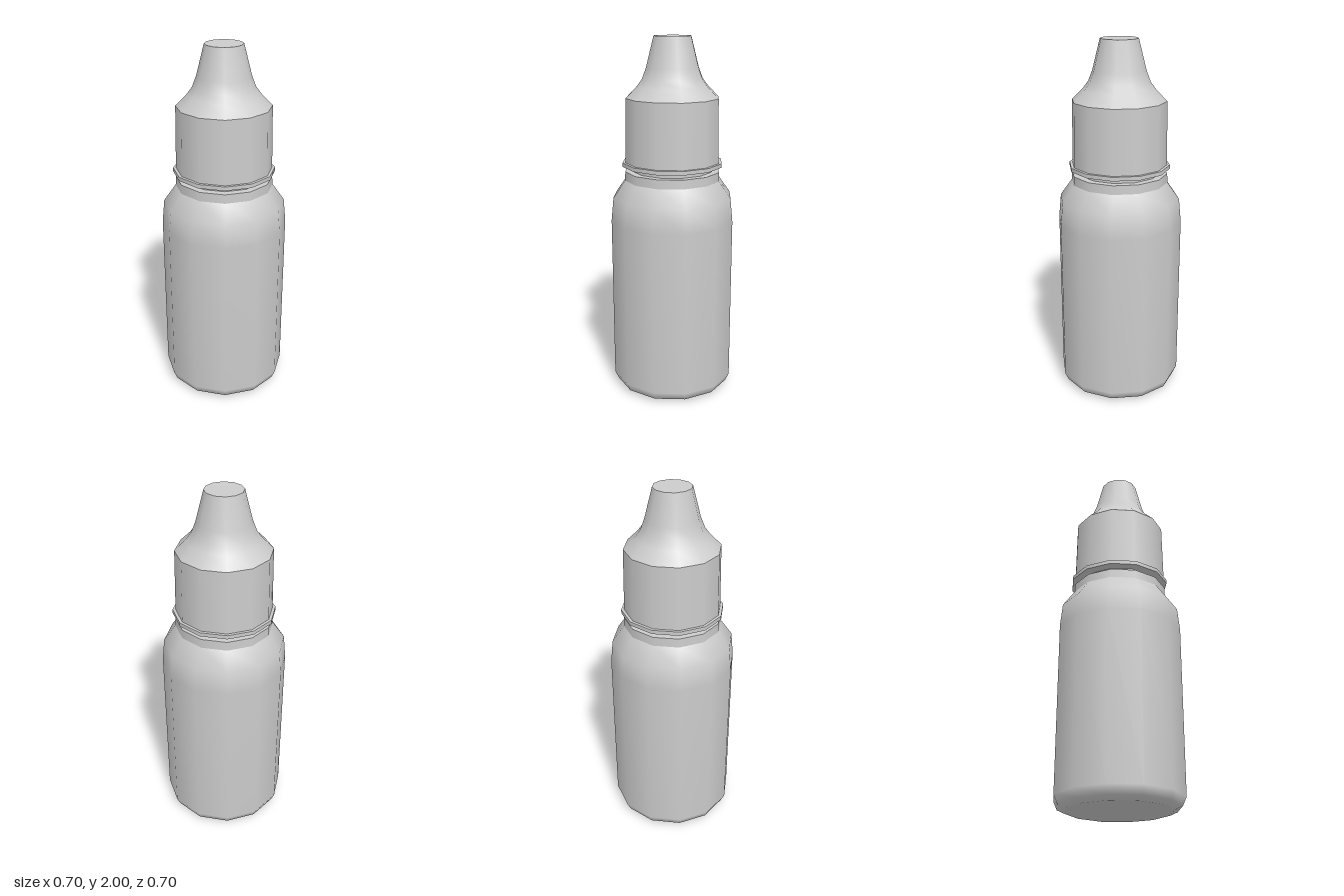
import * as THREE from 'three';
import { mergeGeometries } from 'three/addons/utils/BufferGeometryUtils.js';

const SIDES = 12;
const material = new THREE.MeshStandardMaterial({ color: 0xcccccc });

// Each run of [radius, y] points is smooth; the joints between runs stay sharp.
function turned(name, runs) {
  const parts = runs.map((run) =>
    new THREE.LatheGeometry(run.map(([r, y]) => new THREE.Vector2(r, y)), SIDES));
  const mesh = new THREE.Mesh(mergeGeometries(parts), material);
  mesh.name = name;
  return mesh;
}

export function createModel() {
  const group = new THREE.Group();
  group.name = 'dropperBottle';

  // Bottle: floor, rounded heel, straight wall and sloping shoulder
  group.add(turned('bottleBody', [
    [[0, 0], [0.285, 0]],
    [[0.285, 0], [0.328, 0.02], [0.348, 0.065], [0.348, 1.0], [0.335, 1.13], [0.268, 1.225]],
  ]));

  // Collar above the shoulder, and the narrow neck inside the gap
  group.add(turned('collar', [
    [[0.268, 1.225], [0.266, 1.275]],
    [[0.266, 1.275], [0.225, 1.275]],
  ]));
  group.add(turned('neck', [[[0.225, 1.275], [0.225, 1.305]]]));

  // Thin tamper ring under the cap
  group.add(turned('tamperRing', [
    [[0.225, 1.303], [0.28, 1.303]],
    [[0.28, 1.303], [0.28, 1.325]],
    [[0.28, 1.325], [0.225, 1.325]],
  ]));

  // Cap: slightly tapered skirt, concave cone and flat tip
  group.add(turned('cap', [
    [[0.264, 1.325], [0.258, 1.675]],
    [[0.258, 1.675], [0.198, 1.735], [0.168, 1.775], [0.145, 1.835], [0.103, 2]],
    [[0.103, 2], [0, 2]],
  ]));

  return group;
}
